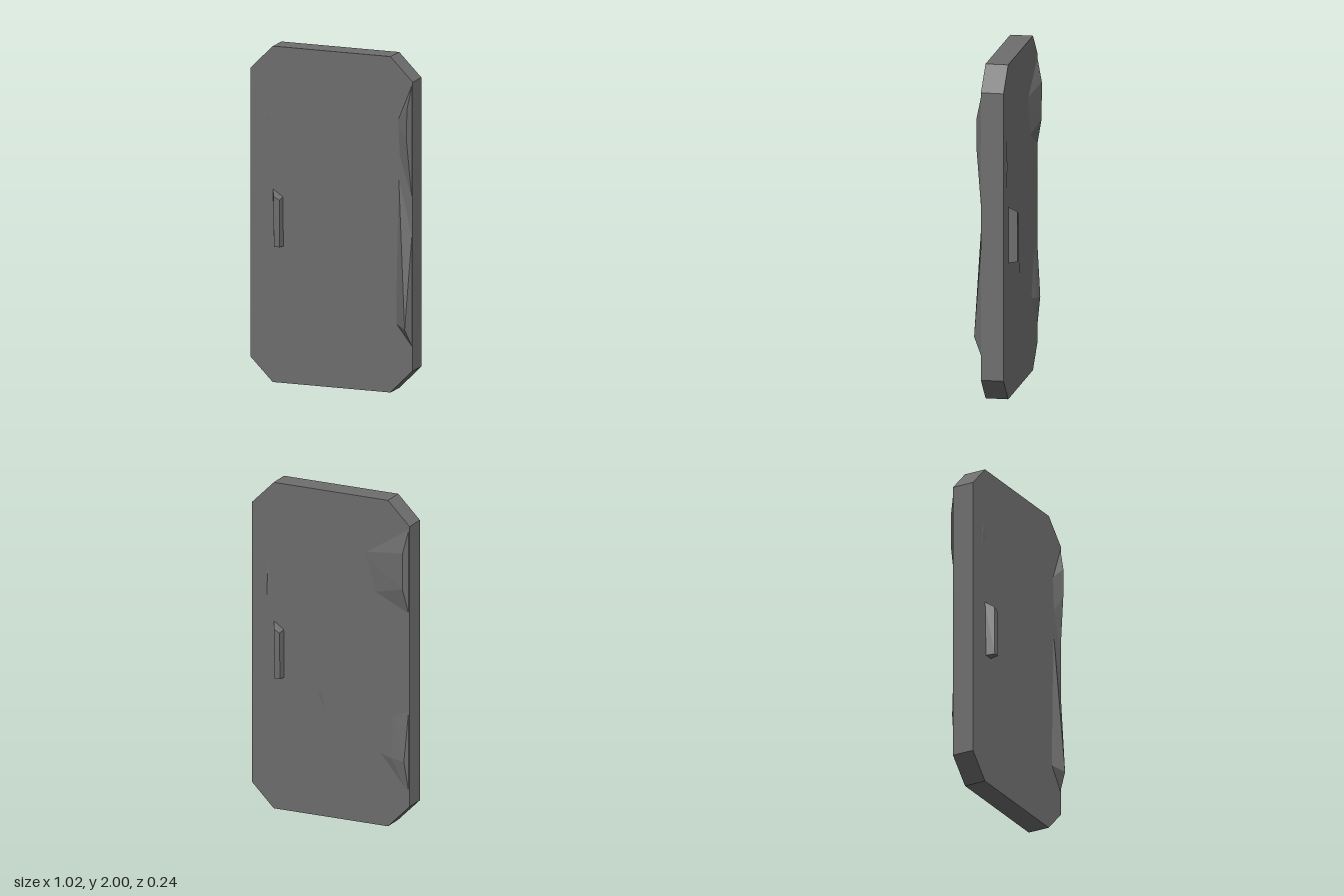
import * as THREE from 'three';
import { ConvexGeometry } from 'three/addons/geometries/ConvexGeometry.js';

export function createModel() {
  const group = new THREE.Group();
  const stone = new THREE.MeshStandardMaterial({ color: 0x6e6e6e });
  stone.name = 'grey stone';
  const FRONT = 0.064, BACK = -0.07;

  const add = (name, geometry) => {
    const mesh = new THREE.Mesh(geometry, stone);
    mesh.name = name;
    group.add(mesh);
    return mesh;
  };

  // Slab with cut corners
  const outline = new THREE.Shape([
    [-0.37, 0.005], [0.37, 0.005], [0.51, 0.145], [0.51, 1.86],
    [0.37, 2], [-0.37, 2], [-0.51, 1.86], [-0.51, 0.145],
  ].map(([x, y]) => new THREE.Vector2(x, y)));
  const slab = new THREE.ExtrudeGeometry(outline, { depth: FRONT - BACK, bevelEnabled: false });
  slab.translate(0, 0, BACK);
  add('slab', slab);

  // Faceted relief: each point is x, y and height above the face; side is 1 front, -1 back
  const relief = (name, side, points) => {
    const face = side > 0 ? FRONT : BACK;
    const verts = points.map(([x, y, h]) => new THREE.Vector3(x, y, face + side * (h || -0.005)));
    add(name, new ConvexGeometry(verts));
  };

  // Handles, one on each face at opposite edges
  for (const side of [1, -1]) {
    relief(side > 0 ? 'frontHandle' : 'backHandle', side, [
      [-0.37, 1.155, 0], [-0.305, 1.11, 0], [-0.303, 0.815, 0], [-0.36, 0.815, 0],
      [-0.345, 1.12, 0.049], [-0.308, 1.1, 0.049],
      [-0.305, 0.82, 0.051], [-0.342, 0.82, 0.049],
    ].map(([x, y, h]) => [x * side, y, h]));
  }

  // Chipped ridges along the front edge
  relief('frontUpperRidge', 1, [
    [0.508, 1.86, 0], [0.508, 1.12, 0], [0.41, 1.62, 0], [0.42, 1.4, 0],
    [0.487, 1.7, 0.03], [0.484, 1.52, 0.031],
  ]);
  relief('frontLowerRidge', 1, [
    [0.417, 1.38, 0], [0.402, 0.67, 0], [0.4, 0.42, 0], [0.508, 0.28, 0],
    [0.508, 1.0, 0], [0.47, 0.75, 0.018], [0.479, 0.395, 0.046],
  ]);

  // Broader ridges along the back edge
  relief('backUpperRidge', -1, [
    [-0.508, 1.86, 0], [-0.508, 1.3, 0], [-0.19, 1.66, 0], [-0.26, 1.42, 0],
    [-0.48, 1.7, 0.031], [-0.478, 1.48, 0.03],
  ]);
  relief('backLowerRidge', -1, [
    [-0.508, 0.8, 0], [-0.508, 0.2, 0], [-0.3, 0.45, 0], [-0.39, 0.75, 0],
    [-0.483, 0.42, 0.021], [-0.4, 0.43, 0.015],
  ]);

  // Shallow scars on the flat faces
  relief('frontScar', 1, [
    [-0.32, 1.88, 0], [-0.415, 1.59, 0], [-0.41, 1.3, 0], [-0.25, 1.55, 0],
    [-0.4, 1.58, 0.002],
  ]);
  relief('backScar', -1, [
    [0.11, 0.78, 0], [0.1, 0.72, 0], [0, 0.55, 0], [0.06, 0.75, 0.004],
  ]);
  relief('backEdgeScar', -1, [
    [0.42, 1.8, 0], [0.43, 1.0, 0], [0.37, 1.4, 0], [0.41, 1.4, 0.003],
  ]);
  return group;
}
